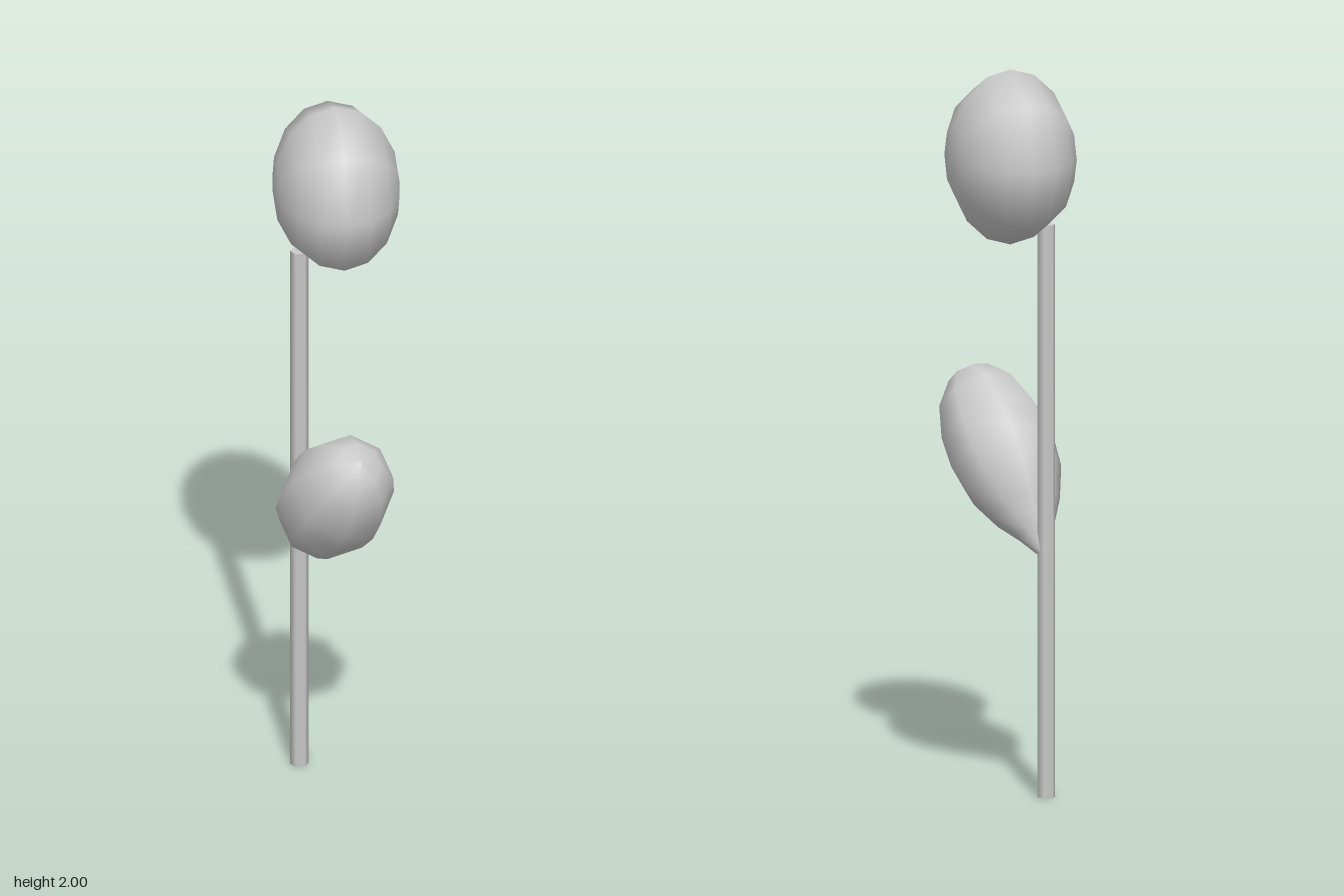
import * as THREE from 'three';

export function createModel() {
  const group = new THREE.Group();
  const material = new THREE.MeshStandardMaterial({ color: 0xcccccc });

  const add = (name, geometry, x, y, z) => {
    const mesh = new THREE.Mesh(geometry, material);
    mesh.name = name;
    mesh.position.set(x, y, z);
    group.add(mesh);
    return mesh;
  };

  // Thin six-sided stem with corners facing left and right
  const stem = new THREE.CylinderGeometry(0.025, 0.025, 1.57, 6);
  stem.rotateY(Math.PI / 2);
  add('stem', stem, -0.095, 0.785, -0.085);

  // Flower head: eight-sided ball, poles along x, flattened sideways
  const head = new THREE.SphereGeometry(1, 8, 8);
  head.rotateZ(Math.PI / 2);
  head.scale(0.173, 0.24, 0.24);
  add('flowerHead', head, 0.005, 1.76, -0.085);

  // Leaf: plump teardrop turned around its own axis, [radius, distance from base]
  const profile = [
    [0, -0.012], [0.018, 0], [0.054, 0.07], [0.1, 0.145], [0.14, 0.24],
    [0.15, 0.32], [0.144, 0.41], [0.115, 0.505], [0.062, 0.572], [0, 0.592],
  ].map(([r, t]) => new THREE.Vector2(r, t));
  const leaf = add('leaf', new THREE.LatheGeometry(profile, 8), -0.09, 0.67, -0.085);
  const axis = new THREE.Vector3(0.11, 0.44, 0.375).normalize();
  leaf.quaternion.setFromUnitVectors(new THREE.Vector3(0, 1, 0), axis);

  return group;
}
